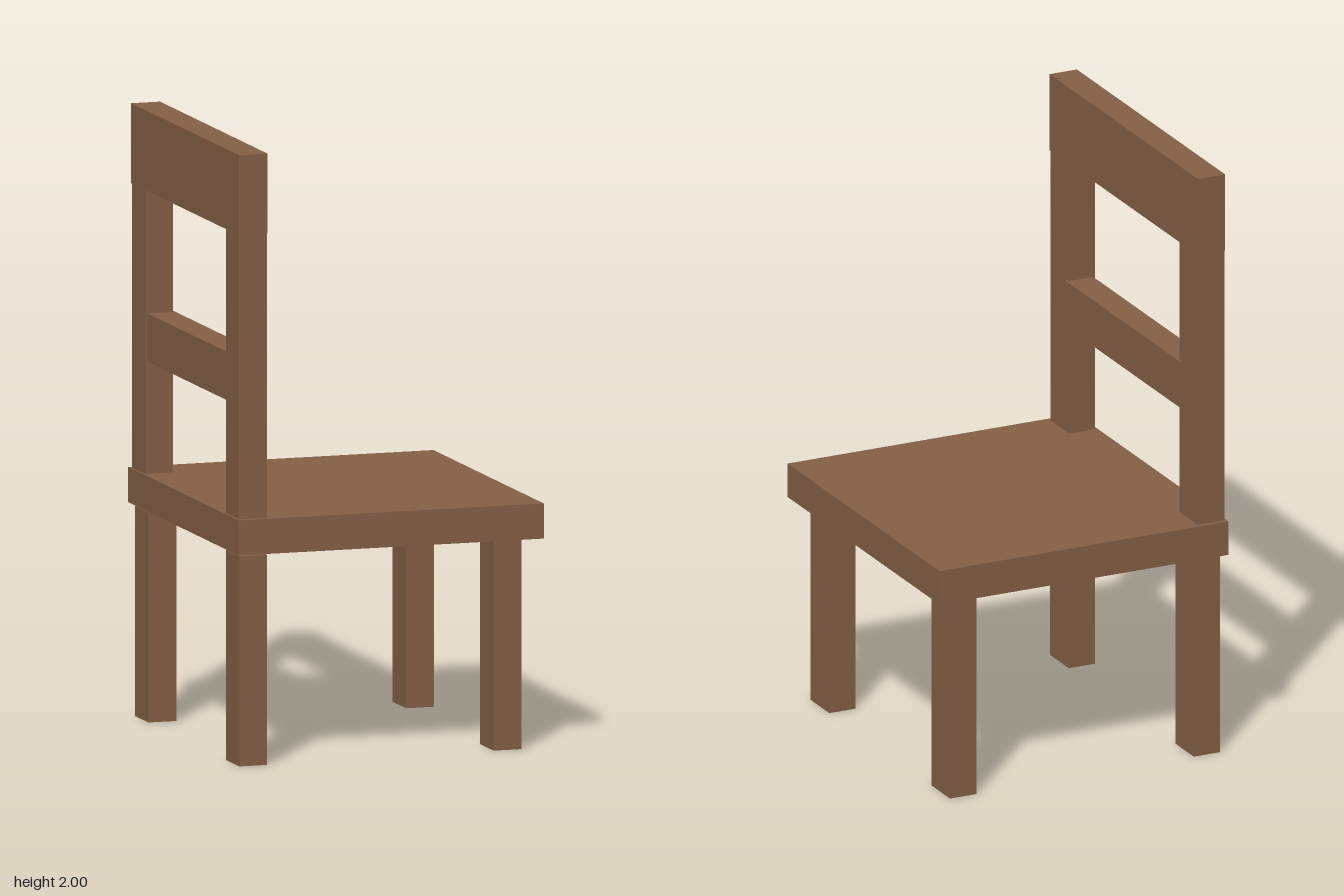
import * as THREE from 'three';

export function createModel() {
  const chair = new THREE.Group();
  chair.name = 'chair';
  const wood = new THREE.MeshStandardMaterial({ color: 0x866147 });
  wood.name = 'brown wood';

  // Board given by its extents along each axis
  function board(name, [x0, x1], [y0, y1], [z0, z1]) {
    const mesh = new THREE.Mesh(new THREE.BoxGeometry(x1 - x0, y1 - y0, z1 - z0), wood);
    mesh.position.set((x0 + x1) / 2, (y0 + y1) / 2, (z0 + z1) / 2);
    mesh.name = name;
    chair.add(mesh);
  }

  const backX = [-0.512, -0.417];
  const frontX = [0.365, 0.46];
  const legY = [0, 0.687];
  const postY = [0.807, 1.738];

  board('seat', [-0.52, 0.52], [0.693, 0.808], [-0.555, 0.555]);

  // Legs stop just short of the seat
  board('frontLeg', frontX, legY, [0.371, 0.508]);
  board('frontLeg', frontX, legY, [-0.51, -0.373]);
  board('backLeg', backX, legY, [0.402, 0.538]);
  board('backLeg', backX, legY, [-0.51, -0.375]);

  // Backrest, running along the -x edge of the seat
  board('backPost', backX, postY, [0.402, 0.535]);
  board('backPost', backX, postY, [-0.54, -0.407]);
  board('topRail', [-0.514, -0.416], [1.738, 2], [-0.542, 0.54]);
  board('backSlat', [-0.505, -0.409], [1.175, 1.333], [-0.422, 0.418]);

  return chair;
}
